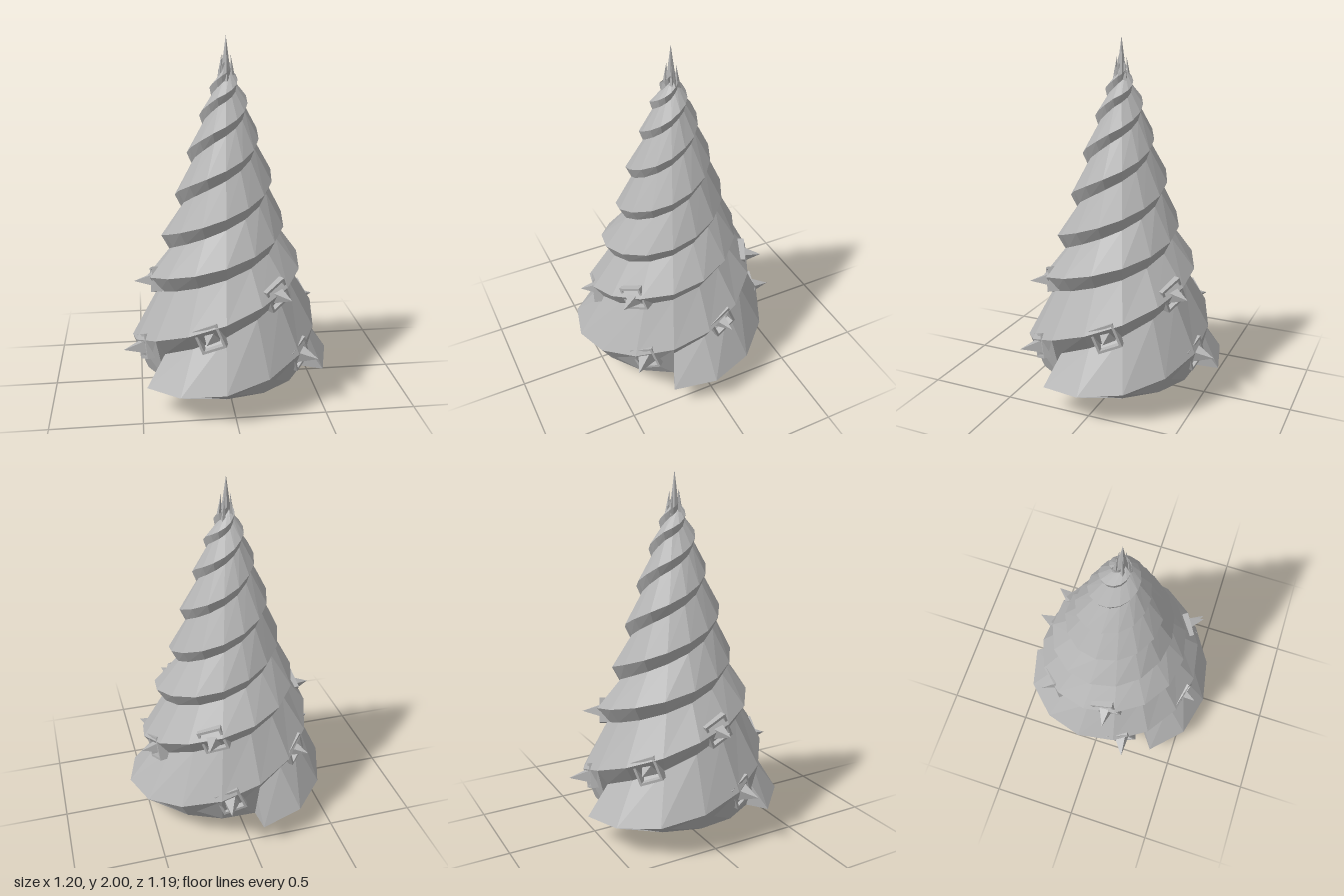
import * as THREE from 'three';

// Crest of the spiral flange: [turn index, radius, height]; one unit is a third of a turn
const CREST = [
  [-2.2, 0.585, 0.135], [-2, 0.6, 0.16], [-1.75, 0.58, 0.2], [-1.5, 0.545, 0.28], [-1, 0.5, 0.47],
  [-0.5, 0.455, 0.66], [0, 0.41, 0.78], [1, 0.315, 1.02], [2, 0.25, 1.27], [3, 0.17, 1.5],
  [4, 0.11, 1.68], [5, 0.055, 1.79], [6, 0.02, 1.86],
];
const BASE_Y = 0.135;
const STARTS = 3;
const PER_THIRD = 5; // facets in a third of a turn

function crestAt(t) {
  let i = 0;
  while (i < CREST.length - 2 && t > CREST[i + 1][0]) i++;
  const [a, b] = [CREST[i], CREST[i + 1]];
  const f = THREE.MathUtils.clamp((t - a[0]) / (b[0] - a[0]), 0, 1);
  return [a[1] + (b[1] - a[1]) * f, a[2] + (b[2] - a[2]) * f];
}

// One of the interleaved spiral flanges, joined to the groove under the flange above it
function bladeGeometry(start) {
  const pos = [];
  const at = (s, i, r, y) => {
    const angle = (s - (-2.2 + i / PER_THIRD)) * Math.PI * 2 / STARTS;
    return [r * Math.cos(angle), y, r * Math.sin(angle)];
  };
  const crest = (i, s = start) => at(s, i, ...crestAt(-2.2 + i / PER_THIRD));
  const groove = (i, low = false, s = start) => {
    const [r, y] = crestAt(-2.2 + i / PER_THIRD);
    return at(s, i, r * 0.88, low ? BASE_Y : Math.max(BASE_Y, y - 0.03 - 0.13 * r));
  };
  const tri = (a, b, c) => pos.push(...a, ...b, ...c);
  const quad = (a, b, c, d) => { tri(a, b, c); tri(a, c, d); };

  const n = PER_THIRD;
  const next = start + 1;
  const last = 41;
  for (let i = 0; i < last; i++) {
    const low = i < n;
    // sloping top face
    if (i + n < last) {
      quad(crest(i), crest(i + 1), groove(i + 1 + n, false, next), groove(i + n, false, next));
    }
    // undercut band
    quad(groove(i, low), groove(i + 1, low), crest(i + 1), crest(i));
    // flat underside
    if (low) {
      tri([0, BASE_Y, 0], groove(i + 1, true), groove(i, true));
      tri(groove(i, true), groove(i + 1, true), at(start, i, ...crestAt(-2.2 + i / n)));
    }
  }
  // blunt leading end of the flange
  tri(crest(0), groove(n, false, next), groove(n, true, next));
  tri(groove(n, true, next), groove(n, false, next), crest(n, next));

  const geo = new THREE.BufferGeometry();
  geo.setAttribute('position', new THREE.Float32BufferAttribute(pos, 3));
  geo.computeVertexNormals();
  return geo;
}

function facet(geo) {
  const g = geo.index ? geo.toNonIndexed() : geo;
  g.computeVertexNormals();
  return g;
}

export function createModel() {
  const metal = new THREE.MeshStandardMaterial({ color: 0xb4b4b4, side: THREE.DoubleSide });
  metal.name = 'grey metal';

  const model = new THREE.Group();
  model.name = 'spiralDrill';
  const body = new THREE.Group();
  body.name = 'drillBody';
  body.position.z = 0.02;
  model.add(body);
  const add = (name, geo, parent = body) => {
    const mesh = new THREE.Mesh(geo, metal);
    mesh.name = name;
    parent.add(mesh);
    return mesh;
  };

  // Spiral flanges
  for (let s = 0; s < STARTS; s++) add('spiralFlange', bladeGeometry(s));

  // Bevelled foot with a collar under the flanges
  const footProfile = [[0, 0], [0.245, 0], [0.295, 0.05], [0.295, 0.12], [0.37, 0.12], [0.4, 0.138]];
  add('foot', facet(new THREE.LatheGeometry(footProfile.map(([x, y]) => new THREE.Vector2(x, y)), 18)));

  // Square sockets with pyramid spikes: [angle in degrees, height, tip radius, socket rim radius]
  const square = (h) => [[-h, -h], [h, -h], [h, h], [-h, h]].map(([x, y]) => new THREE.Vector2(x, y));
  const frame = new THREE.Shape(square(0.07));
  frame.holes.push(new THREE.Path(square(0.056).reverse()));
  const socketGeo = new THREE.ExtrudeGeometry(frame, { depth: 0.08, bevelEnabled: false });
  const spikeGeo = facet(new THREE.ConeGeometry(0.076, 0.18, 4, 1)
    .rotateY(Math.PI / 4).rotateX(Math.PI / 2).translate(0, 0, -0.09));
  for (const [deg, y, tip, rim] of [[42.5, 0.295, 0.625, 0.515], [107, 0.46, 0.55, 0.475], [55, 0.65, 0.53, 0.43]]) {
    for (let s = 0; s < STARTS; s++) {
      const unit = new THREE.Group();
      unit.name = 'spikeUnit';
      unit.position.y = y;
      unit.rotation.y = Math.PI / 2 - THREE.MathUtils.degToRad(deg + s * 120);
      const socket = add('spikeSocket', socketGeo, unit);
      socket.position.z = rim - 0.08;
      socket.rotation.z = 0.4;
      const spike = add('spike', spikeGeo, unit);
      spike.position.z = tip;
      spike.rotation.z = 0.25;
      body.add(unit);
    }
  }

  // Needle tip with a ring of small barbs
  add('tip', facet(new THREE.ConeGeometry(0.034, 0.24, 6).translate(0, 1.88, 0)));
  const barbGeo = facet(new THREE.ConeGeometry(0.014, 0.14, 4).rotateX(-0.1).translate(0, 1.83, 0.033));
  for (let i = 0; i < 5; i++) add('tipBarb', barbGeo).rotation.y = i * Math.PI * 2 / 5;

  return model;
}
